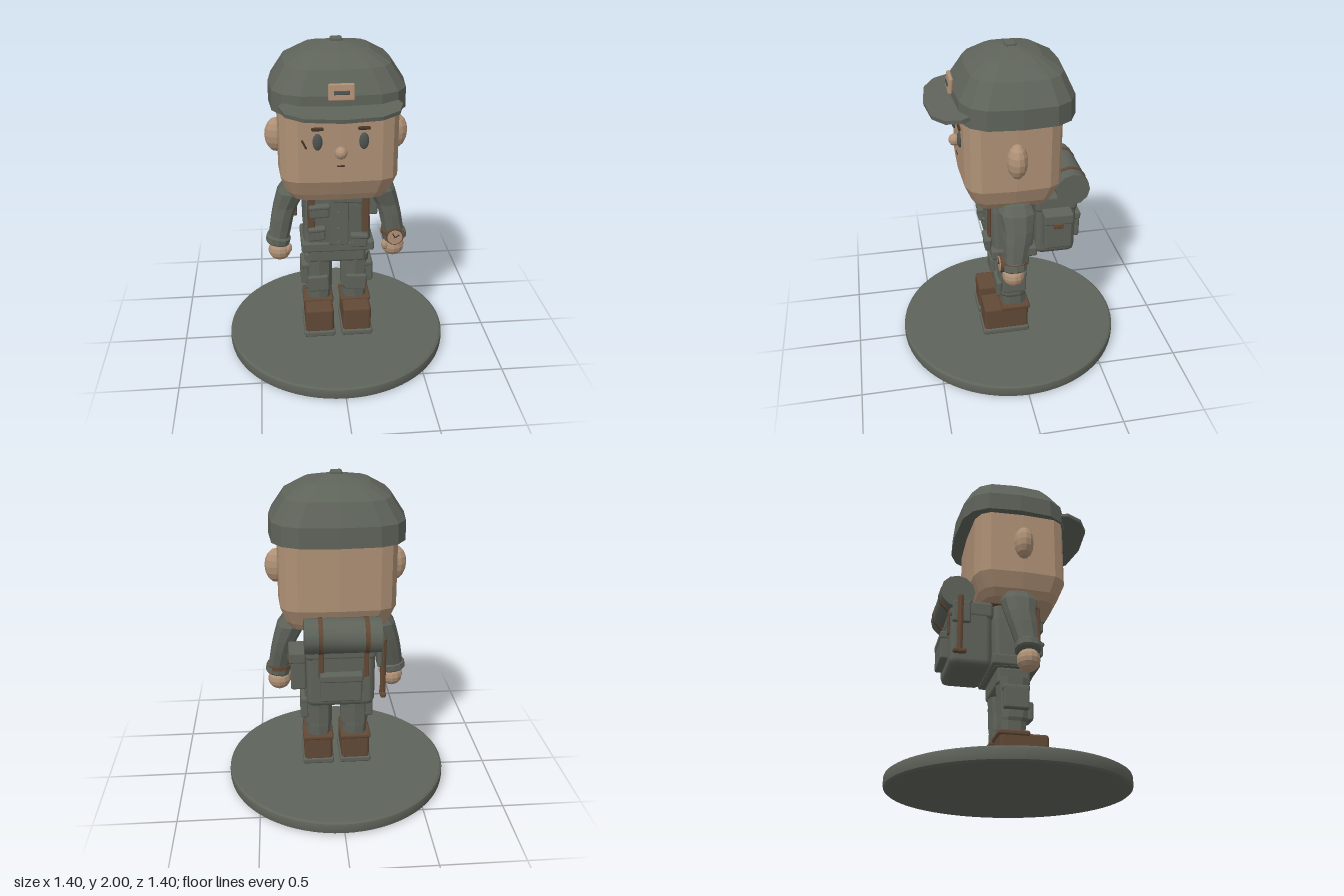
import * as THREE from 'three';
import { toCreasedNormals } from 'three/addons/utils/BufferGeometryUtils.js';
import { RoundedBoxGeometry } from 'three/addons/geometries/RoundedBoxGeometry.js';

const paint = (name, color) => Object.assign(new THREE.MeshStandardMaterial({ color }), { name });

// Faceted loft through rings [y, rx, rz, cx, cz] (bottom to top), superellipse power n
function loft(rings, sides, n = 2) {
  const pos = [], idx = [];
  const bend = (v) => Math.sign(v) * Math.pow(Math.abs(v), 2 / n);
  for (const [y, rx, rz, cx = 0, cz = 0] of rings) {
    for (let i = 0; i < sides; i++) {
      const a = (i / sides) * Math.PI * 2;
      pos.push(cx + rx * bend(Math.sin(a)), y, cz + rz * bend(Math.cos(a)));
    }
  }
  for (let r = 0; r < rings.length - 1; r++) {
    for (let i = 0; i < sides; i++) {
      const a = r * sides + i, b = r * sides + (i + 1) % sides;
      idx.push(a, b, a + sides, b, b + sides, a + sides);
    }
  }
  const last = rings.length - 1, bottom = pos.length / 3;
  for (const [y, , , cx = 0, cz = 0] of [rings[0], rings[last]]) pos.push(cx, y, cz);
  for (let i = 0; i < sides; i++) {
    const j = (i + 1) % sides;
    idx.push(bottom, j, i, bottom + 1, last * sides + i, last * sides + j);
  }
  const g = new THREE.BufferGeometry();
  g.setAttribute('position', new THREE.Float32BufferAttribute(pos, 3));
  g.setIndex(idx);
  const flat = g.toNonIndexed();
  flat.computeVertexNormals();
  return flat;
}

export function createModel() {
  const model = new THREE.Group();
  model.name = 'soldierFigure';
  const cloth = paint('fieldGrey', 0x5e635a);
  const skin = paint('skin', 0xaf9176);
  const leather = paint('brownLeather', 0x624936);
  const eyeGrey = paint('eyeGrey', 0x4f5450);
  const dark = paint('darkBrown', 0x46362a);

  function add(name, geo, mat, p = [0, 0, 0], rot = [0, 0, 0]) {
    const m = new THREE.Mesh(geo, mat);
    m.name = name;
    m.position.set(...p);
    m.rotation.set(...rot);
    model.add(m);
    return m;
  }
  const box = (name, mat, size, p, rot, r = 0.012) =>
    add(name, new RoundedBoxGeometry(...size, 1, Math.min(r, Math.min(...size) * 0.4)), mat, p, rot);
  const ball = (name, mat, radii, p, rot, w = 12, h = 8) => {
    const g = new THREE.SphereGeometry(1, w, h).scale(...radii).toNonIndexed();
    g.computeVertexNormals();
    return add(name, g, mat, p, rot);
  };
  const tube = (name, mat, r, h, p, rot, sides = 12) =>
    add(name, toCreasedNormals(new THREE.CylinderGeometry(r, r, h, sides), 0.6), mat, p, rot);

  // Display base
  const rim = [[0, 0], [0.685, 0], [0.697, 0.01], [0.7, 0.025], [0.7, 0.06], [0.697, 0.072], [0.685, 0.08], [0, 0.08]];
  add('base', toCreasedNormals(new THREE.LatheGeometry(rim.map((q) => new THREE.Vector2(...q)), 72), 0.5), cloth);

  // Head and cap
  add('head', loft([[1.1, 0.285, 0.225, 0, 0.015], [1.145, 0.315, 0.25, 0, 0.015], [1.24, 0.35, 0.29, 0, 0.015],
    [1.66, 0.35, 0.29, 0, 0.015]], 16, 5), skin);
  add('cap', loft([[1.64, 0.395, 0.343, 0, -0.012], [1.755, 0.393, 0.338, 0, -0.012], [1.88, 0.31, 0.27, 0, -0.02],
    [1.95, 0.19, 0.16, 0, -0.015], [1.985, 0.02, 0.02, 0, -0.01]], 16, 3.4), cloth);
  box('capButton', cloth, [0.07, 0.03, 0.065], [0, 1.985, -0.01]);
  const visor = new THREE.Shape([[-0.3, 0.22], [-0.34, 0.31], [-0.31, 0.4], [-0.21, 0.465], [0, 0.49],
    [0.21, 0.465], [0.31, 0.4], [0.34, 0.31], [0.3, 0.22]].map((q) => new THREE.Vector2(...q)));
  const visorGeo = new THREE.ExtrudeGeometry(visor, { depth: 0.022, bevelEnabled: false });
  visorGeo.rotateX(Math.PI / 2).translate(0, 0, -0.25).rotateX(0.13).translate(0, 1.71, 0.25);
  add('visor', visorGeo, cloth);
  box('capBadge', skin, [0.145, 0.095, 0.025], [0, 1.782, 0.335], [-0.12, 0, 0]);
  box('badgeSlot', eyeGrey, [0.085, 0.022, 0.009], [0, 1.782, 0.349], [-0.12, 0, 0]);

  // Face
  for (const s of [-1, 1]) {
    ball('ear', skin, [0.07, 0.105, 0.06], [s * 0.355, 1.435, 0.015]);
    ball('eye', eyeGrey, [0.028, 0.05, 0.016], [s * 0.13, 1.488, 0.303]);
    box('eyebrow', dark, [0.07, 0.02, 0.02], [s * 0.13, 1.563, 0.303]);
  }
  box('scar', dark, [0.011, 0.058, 0.012], [-0.205, 1.475, 0.302], [0, 0, 0.45]);
  ball('nose', skin, [0.036, 0.036, 0.036], [0, 1.425, 0.318]);
  box('mouth', dark, [0.046, 0.011, 0.012], [0, 1.34, 0.303]);

  // Torso
  add('jacket', loft([[0.69, 0.215, 0.13], [0.8, 0.21, 0.135], [1.0, 0.2, 0.142], [1.08, 0.19, 0.14], [1.13, 0.15, 0.11]], 16, 6), cloth);
  box('jacketHem', cloth, [0.45, 0.065, 0.285], [0, 0.725, 0]);
  box('hips', cloth, [0.36, 0.11, 0.2], [0, 0.645, -0.005], undefined, 0.02);
  box('frontPlacket', cloth, [0.12, 0.35, 0.02], [0.005, 0.92, 0.14]);
  for (const y of [0.765, 0.86, 0.965, 1.045]) tube('button', cloth, 0.012, 0.016, [0.003, y, 0.155], [Math.PI / 2, 0, 0], 8);
  for (const s of [-1, 1]) {
    box('shoulderStrap', leather, [0.045, 0.26, 0.02], [s * 0.165, 0.97, 0.148]);
    box('strapOverShoulder', leather, [0.045, 0.02, 0.3], [s * 0.165, 1.1, 0]);
    box('backStrap', leather, [0.045, 0.14, 0.02], [s * 0.13, 1.05, -0.145]);
    box('waistPouch', cloth, [0.1, 0.08, 0.04], [s * 0.13, s < 0 ? 0.83 : 0.775, 0.155], [0, 0, s * -0.08]);
    box('waistPouchFlap', cloth, [0.11, 0.03, 0.05], [s * 0.13, s < 0 ? 0.865 : 0.81, 0.157], [0, 0, s * -0.08]);
  }
  box('chestPocket', cloth, [0.12, 0.075, 0.04], [-0.115, 0.985, 0.16], [0, 0, 0.06]);
  box('chestPocketFlap', cloth, [0.13, 0.025, 0.05], [-0.115, 1.018, 0.162], [0, 0, 0.06]);
  box('chestPatch', cloth, [0.18, 0.05, 0.035], [0.06, 1.062, 0.155], [0, 0, -0.08]);

  for (const s of [-1, 1]) {
    // Arms and hands
    add('sleeve', loft([[0.75, 0.065, 0.065, s * 0.365, 0.03], [0.82, 0.068, 0.073, s * 0.35, 0.02],
      [0.9, 0.07, 0.085, s * 0.335, 0.01], [0.97, 0.075, 0.092, s * 0.315], [1.07, 0.088, 0.11, s * 0.275],
      [1.125, 0.075, 0.09, s * 0.25], [1.158, 0.035, 0.045, s * 0.235]], 10, 2.4), cloth);
    add('cuff', loft([[-0.028, 0.066, 0.066], [-0.018, 0.076, 0.076], [0.018, 0.076, 0.076], [0.028, 0.066, 0.066]], 12, 2.4),
      cloth, [s * 0.365, 0.748, 0.03], [0, 0, s * 0.2]);
    ball('hand', skin, [0.072, 0.068, 0.068], [s * 0.358, 0.672, 0.035]);
    ball('thumb', skin, [0.024, 0.036, 0.026], [s * 0.305, 0.69, 0.065], [0, 0, s * 0.2], 8, 6);

    // Legs and boots
    const x = s * 0.115;
    add('trouserLeg', loft([[0.29, 0.078, 0.08, x, -0.008], [0.37, 0.08, 0.083, x, -0.008], [0.39, 0.088, 0.09, x],
      [0.5, 0.088, 0.093, x], [0.63, 0.092, 0.098, x, -0.005]], 10, 3), cloth);
    box('kneePatch', cloth, [0.135, 0.11, 0.035], [s * 0.12, 0.44, 0.09], [0, 0, s * -0.06]);
    box('thighPocket', cloth, [0.05, 0.135, 0.15], [s * 0.205, 0.5, 0]);
    box('thighPocketFlap', cloth, [0.055, 0.035, 0.16], [s * 0.2, 0.56, 0]);
    box('boot', leather, [0.18, 0.17, 0.285], [s * 0.12, 0.212, 0.048], undefined, 0.018);
    box('bootCollar', leather, [0.196, 0.032, 0.185], [s * 0.12, 0.295, -0.012]);
    box('bootSole', cloth, [0.2, 0.04, 0.3], [s * 0.12, 0.12, 0.05]);
  }

  // Wrist compass
  add('wristStrap', loft([[0.757, 0.077, 0.076, 0.357, 0.028], [0.785, 0.077, 0.076, 0.357, 0.028]], 12, 2.4), leather);
  tube('compassCase', leather, 0.055, 0.02, [0.357, 0.765, 0.108], [Math.PI / 2, 0, 0], 16);
  tube('compassFace', skin, 0.047, 0.009, [0.357, 0.765, 0.118], [Math.PI / 2, 0, 0], 16);
  for (const a of [0.5, -1]) box('compassNeedle', dark, [0.007, 0.036, 0.006],
    [0.357 - Math.sin(a) * 0.014, 0.765 + Math.cos(a) * 0.014, 0.124], [0, 0, a]);

  // Backpack
  box('backpack', cloth, [0.4, 0.41, 0.25], [0, 0.885, -0.262], undefined, 0.04);
  box('backpackFlap', cloth, [0.41, 0.11, 0.26], [0, 1.04, -0.262], undefined, 0.025);
  box('rearPocket', cloth, [0.24, 0.16, 0.055], [0, 0.82, -0.405]);
  box('rearPocketFlap', cloth, [0.25, 0.05, 0.06], [0, 0.89, -0.407]);
  for (const s of [-1, 1]) box('flapStrap', leather, [0.03, 0.16, 0.012], [s * 0.13 - 0.015, 0.96, -0.393]);
  box('sidePocket', cloth, [0.09, 0.21, 0.17], [0.245, 0.885, -0.255]);
  box('sidePocketFlap', cloth, [0.1, 0.07, 0.18], [0.25, 0.985, -0.255]);
  box('sidePocketBuckle', leather, [0.02, 0.035, 0.06], [0.298, 0.945, -0.25]);
  tube('bedroll', cloth, 0.103, 0.44, [-0.01, 1.13, -0.355], [0, 0, Math.PI / 2], 12);
  for (const x of [-0.147, 0.117]) tube('bedrollStrap', leather, 0.107, 0.026, [x, 1.13, -0.355], [0, 0, Math.PI / 2], 12);

  // Shovel carried on the pack
  tube('shovelHandle', leather, 0.017, 0.36, [-0.25, 0.91, -0.34], undefined, 8);
  box('shovelGrip', leather, [0.035, 0.03, 0.08], [-0.25, 0.74, -0.34]);
  box('shovelBlade', cloth, [0.03, 0.14, 0.11], [-0.225, 1.0, -0.33]);
  return model;
}
